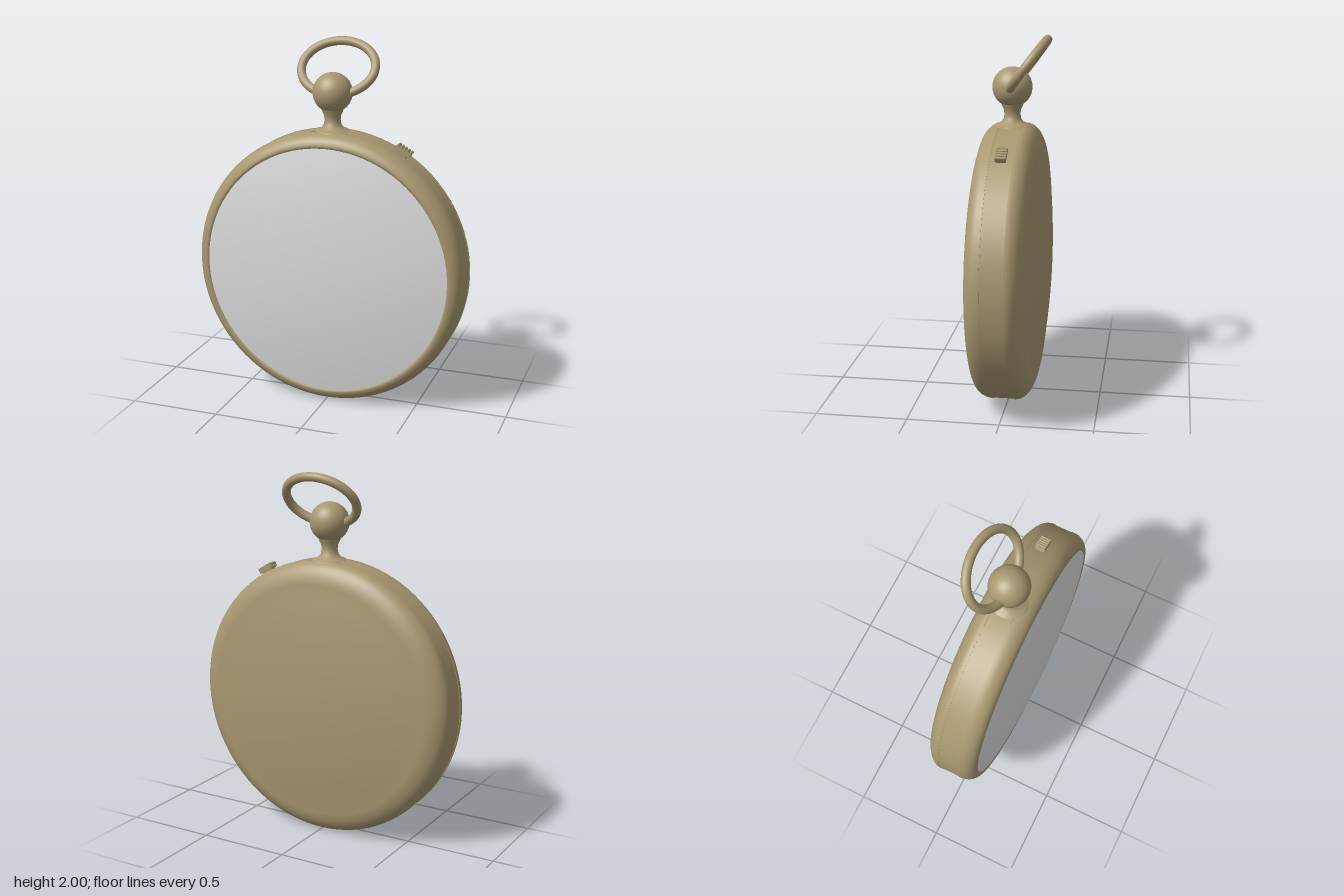
import * as THREE from 'three';

const brass = new THREE.MeshStandardMaterial({ color: 0xa89870 });
brass.name = 'brass';
const crystalWhite = new THREE.MeshStandardMaterial({ color: 0xdcdcdc });
crystalWhite.name = 'crystalWhite';

const CENTRE_Y = 0.763;

function add(parent, name, geometry, material = brass) {
  const mesh = new THREE.Mesh(geometry, material);
  mesh.name = name;
  parent.add(mesh);
  return mesh;
}

// Lathe from [radius, height] pairs
function lathe(points, segments) {
  return new THREE.LatheGeometry(points.map(([r, h]) => new THREE.Vector2(r, h)), segments);
}

// Lathe turned so its axis runs front to back
const disc = (points) => lathe(points, 96).rotateX(Math.PI / 2);

// Shallow dome profile from the centre to the rim
function dome(rim, rimZ, peakZ, steps = 12) {
  return Array.from({ length: steps + 1 }, (_, i) => {
    const t = i / steps;
    return [rim * t, peakZ + (rimZ - peakZ) * t * t];
  });
}

// Rounded shoulder from the band edge to the face
function shoulder(inner, innerZ, steps = 10) {
  return Array.from({ length: steps + 1 }, (_, i) => {
    const a = (i / steps) * Math.PI / 2;
    return [inner + (0.76 - inner) * Math.cos(a), 0.06 + (innerZ - 0.06) * Math.sin(a)];
  });
}

export function createModel() {
  const model = new THREE.Group();
  model.name = 'pocketWatch';

  // Case
  const caseGroup = new THREE.Group();
  caseGroup.name = 'case';
  caseGroup.position.y = CENTRE_Y;
  model.add(caseGroup);
  add(caseGroup, 'caseBand', disc([[0.757, -0.062], [0.757, 0.062]]));
  add(caseGroup, 'bezel', disc([[0.74, 0.06], [0.76, 0.06]]));
  add(caseGroup, 'bezelShoulder', disc([...shoulder(0.69, 0.147), [0.683, 0.138]]));
  const backShoulder = shoulder(0.62, 0.152).map(([r, z]) => [r, -z]).reverse();
  add(caseGroup, 'backCover', disc([...dome(0.62, -0.152, -0.202).slice(0, -1), ...backShoulder]));
  add(caseGroup, 'backCoverLip', disc([[0.76, -0.06], [0.74, -0.06]]));
  add(caseGroup, 'crystal', disc(dome(0.685, 0.142, 0.202).reverse()), crystalWhite);

  // Curved pendant plate on the band
  const plate = new THREE.CylinderGeometry(0.763, 0.763, 0.116, 12, 1, false, Math.PI - 0.14, 0.28);
  add(caseGroup, 'pendantPlate', plate.rotateX(Math.PI / 2));

  // Push button on the upper left shoulder of the band
  const button = new THREE.Group();
  button.name = 'pushButton';
  button.position.set(0.386, 0.655, 0);
  button.rotation.z = -Math.atan2(0.386, 0.655);
  caseGroup.add(button);
  add(button, 'buttonStem', new THREE.BoxGeometry(0.06, 0.05, 0.045));
  add(button, 'buttonCap', new THREE.BoxGeometry(0.088, 0.022, 0.056)).position.y = 0.024;
  for (let i = -2; i <= 2; i++) {
    const ridge = add(button, 'buttonRidge', new THREE.CylinderGeometry(0.008, 0.008, 0.056, 8).rotateX(Math.PI / 2));
    ridge.position.set(i * 0.019, 0.035, 0);
  }

  // Flared neck and ball crown
  add(model, 'neck', lathe([
    [0.1, 1.515], [0.09, 1.525], [0.062, 1.535], [0.047, 1.555], [0.043, 1.58],
    [0.046, 1.605], [0.056, 1.625], [0.062, 1.645],
  ], 32));
  add(model, 'crownBall', new THREE.SphereGeometry(0.107, 40, 28)).position.y = 1.725;

  // Oval bow, tipped backwards
  const bowPoints = Array.from({ length: 40 }, (_, i) => {
    const a = (i / 40) * Math.PI * 2;
    return new THREE.Vector3(0.207 * Math.cos(a), 1.845 + 0.131 * Math.sin(a), -0.087 - 0.097 * Math.sin(a));
  });
  add(model, 'bow', new THREE.TubeGeometry(new THREE.CatmullRomCurve3(bowPoints, true), 80, 0.024, 14, true));

  return model;
}
